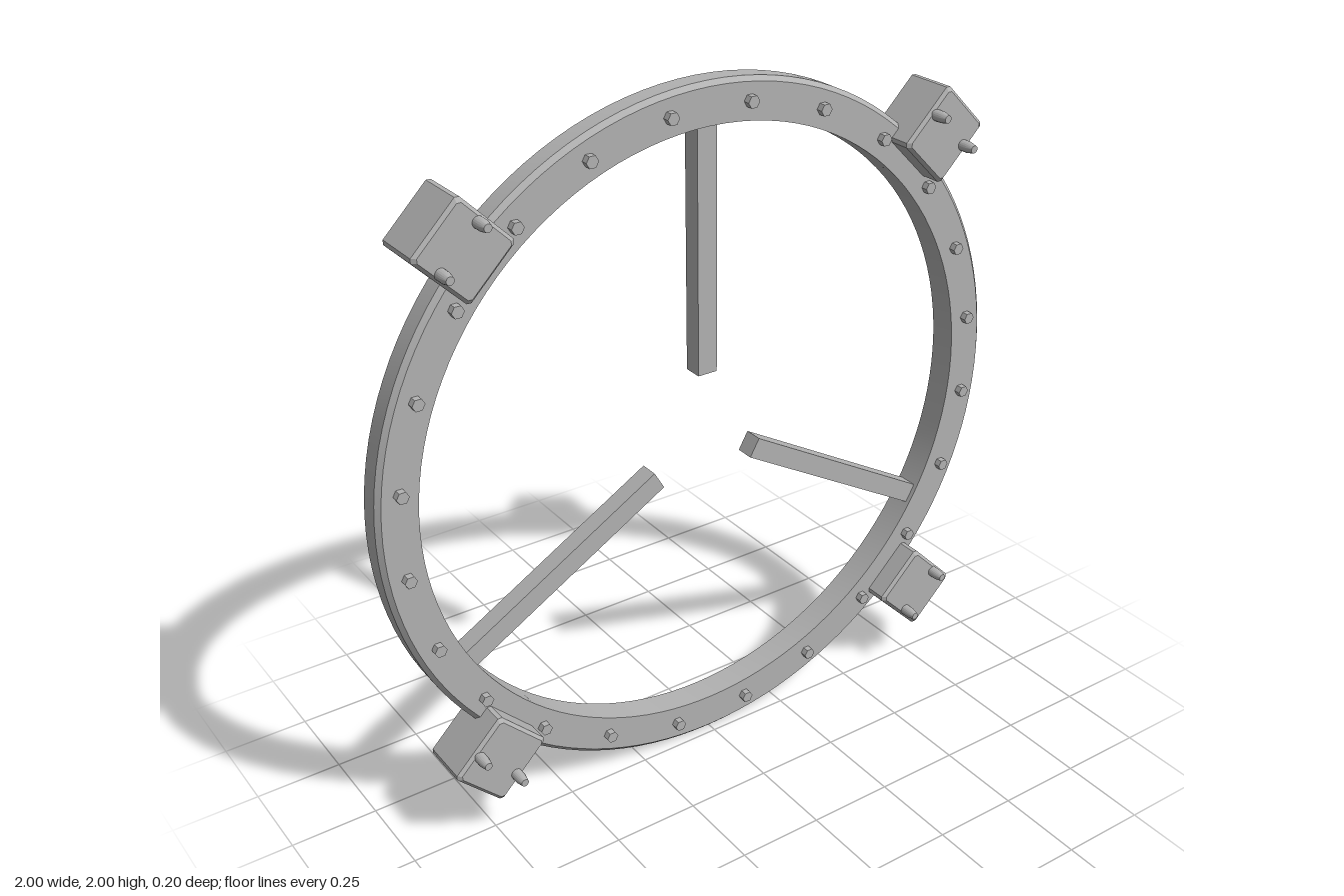
import * as THREE from 'three';
import { toCreasedNormals } from 'three/addons/utils/BufferGeometryUtils.js';

const BACK = -0.1, FRONT = -0.018, BLOCK_FRONT = 0.052;

// Chamfered ring profile (radius, depth), revolved about z
function ringGeometry() {
  const c = 0.013;
  const profile = [
    [0.885, BACK], [1 - c, BACK], [1, BACK + c], [1, FRONT - c],
    [1 - c, FRONT], [0.885, FRONT], [0.885, BACK],
  ].map(([r, z]) => new THREE.Vector2(r, z));
  const geo = new THREE.LatheGeometry(profile, 120);
  geo.rotateX(Math.PI / 2);
  return toCreasedNormals(geo, 0.4);
}

// Block with cut corners and a chamfer around its front face
function blockGeometry(w, h, c) {
  const x = w / 2, y = h / 2, depth = BLOCK_FRONT - BACK;
  const shape = new THREE.Shape([
    [x - c, -y], [x, -y + c], [x, y - c], [x - c, y],
    [-x + c, y], [-x, y - c], [-x, -y + c], [-x + c, -y],
  ].map(([a, b]) => new THREE.Vector2(a, b)));
  const geo = new THREE.ExtrudeGeometry(shape, { depth, steps: 2, bevelEnabled: false });
  const pos = geo.attributes.position;
  for (let i = 0; i < pos.count; i++) {
    const z = pos.getZ(i);
    if (z > depth * 0.9) {
      pos.setX(i, pos.getX(i) * (1 - c / x));
      pos.setY(i, pos.getY(i) * (1 - c / y));
    } else if (z > depth * 0.1) pos.setZ(i, depth - c);
  }
  geo.computeVertexNormals();
  geo.translate(0, 0, BACK);
  return geo;
}

// Guide pin with a tapered tip
function pinGeometry() {
  const profile = [[0, -0.005], [0.016, -0.005], [0.016, 0.025], [0.011, 0.048], [0, 0.048]]
    .map(([r, z]) => new THREE.Vector2(r, z));
  const geo = new THREE.LatheGeometry(profile, 20);
  geo.rotateX(Math.PI / 2);
  return toCreasedNormals(geo, 0.5);
}

export function createModel() {
  const metal = new THREE.MeshStandardMaterial({ color: 0xb2b2b2 });
  metal.name = 'grey metal';

  const model = new THREE.Group();
  model.name = 'dockingRing';
  const add = (parent, name, geo, x = 0, y = 0, z = 0) => {
    const mesh = new THREE.Mesh(geo, metal);
    mesh.name = name;
    mesh.position.set(x, y, z);
    parent.add(mesh);
    return mesh;
  };
  // Group whose local +y points outward from the ring centre
  const radialGroup = (name, angle) => {
    const g = new THREE.Group();
    g.name = name;
    g.position.y = 1;
    g.rotation.z = angle;
    model.add(g);
    return g;
  };

  add(model, 'ring', ringGeometry(), 0, 1, 0);

  // Hex bolts around the front face
  const boltGeo = new THREE.CylinderGeometry(0.018, 0.018, 0.024, 6).toNonIndexed();
  boltGeo.computeVertexNormals();
  boltGeo.rotateX(Math.PI / 2);
  boltGeo.rotateZ(Math.PI / 2);
  for (let i = 0; i < 24; i++) {
    const a = (i + 0.5) * Math.PI / 12;
    add(model, 'bolt', boltGeo, 0.938 * Math.cos(a), 1 + 0.938 * Math.sin(a), FRONT + 0.008);
  }

  // Three spokes pointing to the centre
  const spokeGeo = new THREE.BoxGeometry(0.06, 0.71, 0.056);
  for (let i = 0; i < 3; i++) {
    add(radialGroup('spokeArm', i * Math.PI * 2 / 3), 'spoke', spokeGeo, 0, 0.542, -0.06);
  }

  // Four corner blocks, each with two pins
  const blockGeo = blockGeometry(0.19, 0.206, 0.009);
  const pinGeo = pinGeometry();
  for (let i = 0; i < 4; i++) {
    const corner = radialGroup('cornerBlock', Math.PI / 4 + i * Math.PI / 2);
    add(corner, 'block', blockGeo, 0, 1.046, 0);
    for (const side of [-1, 1]) add(corner, 'pin', pinGeo, side * 0.074, 1.064, BLOCK_FRONT);
  }
  return model;
}
